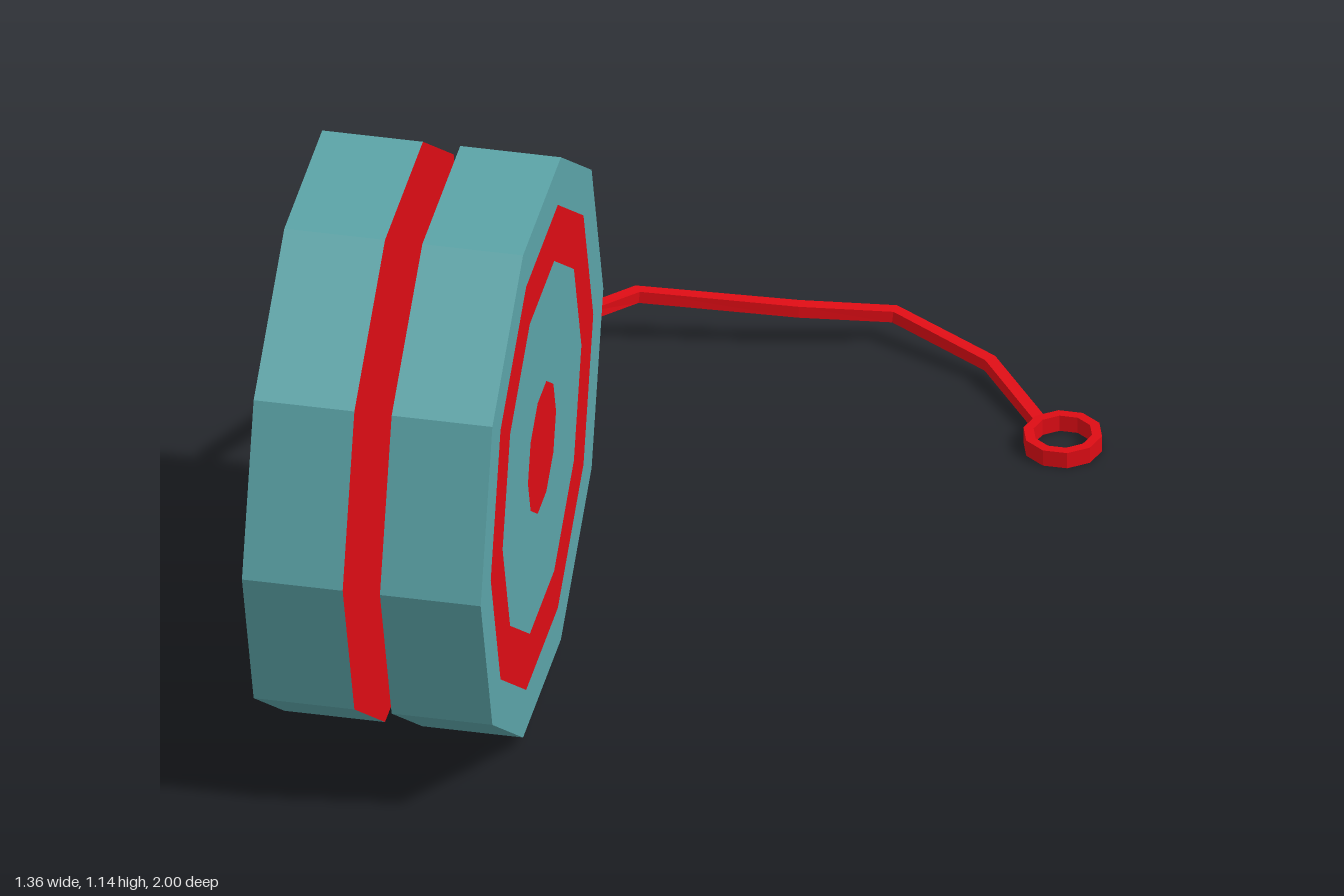
import * as THREE from 'three';

const SIDES = 10;
const teal = new THREE.MeshStandardMaterial({ color: 0x5ba3a7, flatShading: true });
const red = new THREE.MeshStandardMaterial({ color: 0xdd0c14, flatShading: true });

// Ten-sided turned part from [radius, height] pairs
function turned(name, profile, material) {
  const points = profile.map(([r, h]) => new THREE.Vector2(r, h));
  const mesh = new THREE.Mesh(new THREE.LatheGeometry(points, SIDES), material);
  mesh.name = name;
  return mesh;
}

// Half of the spool: plain red inner face, teal body, striped outer face
function makeDisc(name) {
  const inner = 0.037, outer = 0.237, R = 0.585;
  const disc = new THREE.Group();
  disc.name = name;
  disc.add(
    turned('innerFace', [[0, inner], [R, inner]], red),
    turned('rim', [[R, inner], [R, outer], [0.489, outer]], teal),
    turned('faceRing', [[0.489, outer], [0.376, outer]], red),
    turned('facePanel', [[0.376, outer], [0.134, outer]], teal),
    turned('faceHub', [[0.134, outer], [0, outer]], red)
  );
  return disc;
}

// Square cord swept along a polyline with mitred corners
function cordGeometry(path, half) {
  const up = new THREE.Vector3(0, 1, 0);
  const positions = [], index = [];
  path.forEach((p, i) => {
    const before = p.clone().sub(path[Math.max(i - 1, 0)]).normalize();
    const after = path[Math.min(i + 1, path.length - 1)].clone().sub(p).normalize();
    const t = before.clone().add(after).normalize();
    const s = up.clone().cross(t).normalize();
    const n = t.clone().cross(s);
    for (const [a, b] of [[1, 1], [-1, 1], [-1, -1], [1, -1]]) {
      const v = p.clone().addScaledVector(s, a * half).addScaledVector(n, b * half);
      positions.push(v.x, v.y, v.z);
    }
    if (i === 0) return;
    for (let j = 0; j < 4; j++) {
      const a = (i - 1) * 4 + j, b = (i - 1) * 4 + (j + 1) % 4;
      index.push(a, b, b + 4, a, b + 4, a + 4);
    }
  });
  const e = (path.length - 1) * 4;
  index.push(0, 2, 1, 0, 3, 2, e, e + 1, e + 2, e, e + 2, e + 3);
  const geometry = new THREE.BufferGeometry();
  geometry.setAttribute('position', new THREE.Float32BufferAttribute(positions, 3));
  geometry.setIndex(index);
  const flat = geometry.toNonIndexed();
  flat.computeVertexNormals();
  return flat;
}

export function createModel() {
  const model = new THREE.Group();
  model.name = 'yoyo';

  // Spool: two mirrored discs on a short axle
  const spool = new THREE.Group();
  spool.name = 'spool';
  spool.position.set(-0.445, 0.58, 0.415);
  for (const side of [1, -1]) {
    const disc = makeDisc(side > 0 ? 'leftDisc' : 'rightDisc');
    disc.rotation.z = -side * Math.PI / 2;
    spool.add(disc);
  }
  const axle = turned('axle', [[0.138, -0.037], [0.138, 0.037]], red);
  axle.rotation.z = -Math.PI / 2;
  spool.add(axle);
  model.add(spool);

  // String: from the top of the axle down to the ground and round to the loop
  const path = [
    [-0.453, 0.722, 0.43], [-0.453, 0.7, -0.16], [-0.453, 0.525, -0.47],
    [-0.38, 0.125, -0.76], [-0.29, 0.108, -0.885], [0.02, 0.082, -0.937],
    [0.2, 0.062, -0.988], [0.41, 0.038, -0.888], [0.545, 0.018, -0.722]
  ].map(p => new THREE.Vector3(...p));
  const string = new THREE.Mesh(cordGeometry(path, 0.0125), red);
  string.name = 'string';
  model.add(string);

  // Finger loop
  const loop = turned('fingerLoop',
    [[0.058, 0], [0.078, 0], [0.078, 0.035], [0.058, 0.035], [0.058, 0]], red);
  loop.position.set(0.598, 0, -0.68);
  loop.rotation.y = Math.PI / 2;
  model.add(loop);

  return model;
}
